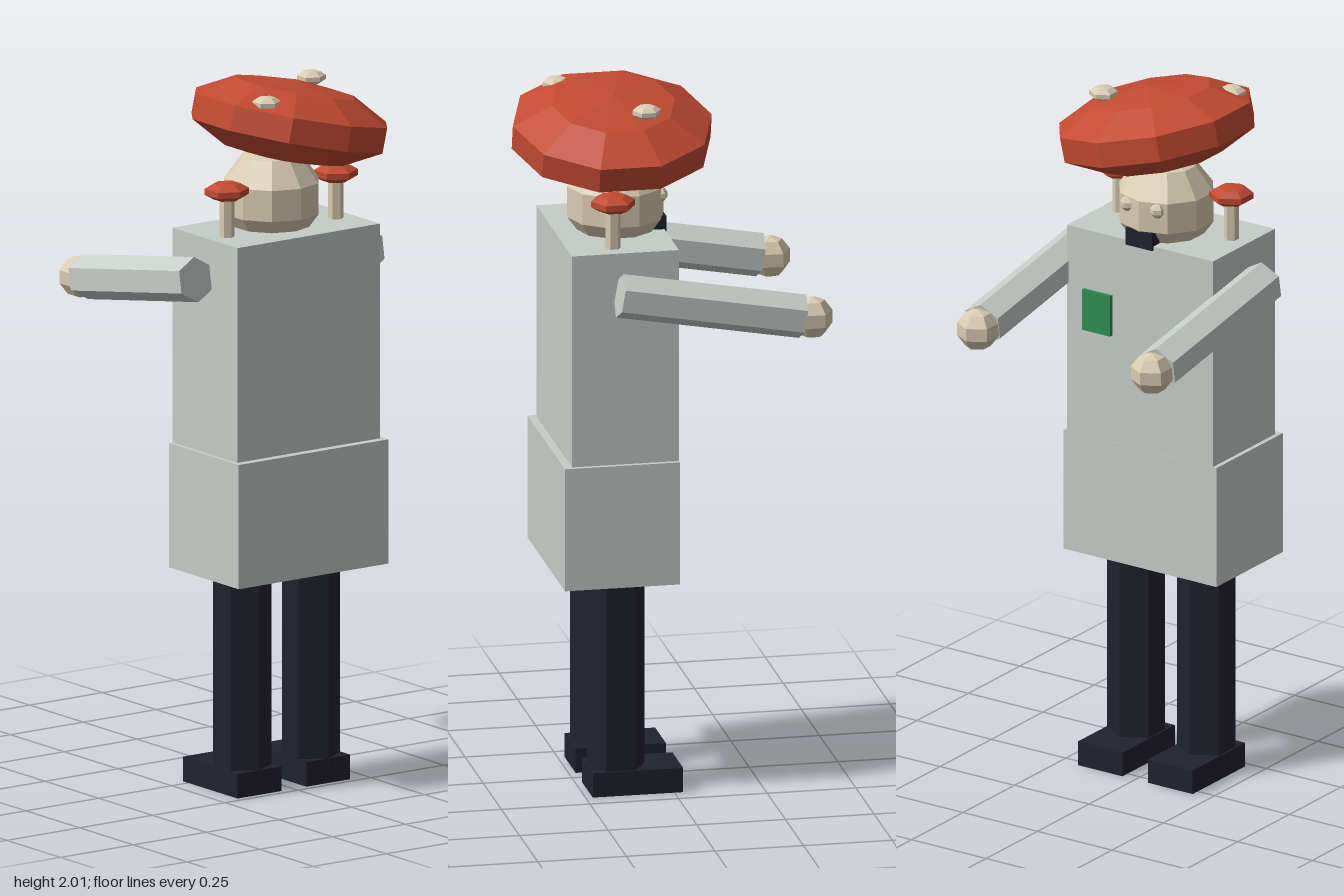
import * as THREE from 'three';

const mat = (name, color) => {
  const m = new THREE.MeshStandardMaterial({ color, flatShading: true });
  m.name = name;
  return m;
};

export function createModel() {
  const grey = mat('coat grey', 0xc6ccc8);
  const red = mat('cap red', 0xc24a32);
  const cream = mat('cream', 0xd8ccb2);
  const dark = mat('dark navy', 0x20212c);
  const green = mat('badge green', 0x2f8f50);

  const model = new THREE.Group();
  const add = (name, geometry, material, x, y, z) => {
    const mesh = new THREE.Mesh(geometry, material);
    mesh.name = name;
    mesh.position.set(x, y, z);
    model.add(mesh);
    return mesh;
  };
  const box = (w, h, d) => new THREE.BoxGeometry(w, h, d);
  const hex = (r, h) => new THREE.CylinderGeometry(r, r, h, 6);
  // Faceted ball with corners on the z axis; height is its half height
  const ball = (r, height, sides) =>
    new THREE.SphereGeometry(r, sides, 5).rotateY(Math.PI / 2).scale(1, height / r, 1);

  // Coat and its wider hem
  add('coat', box(0.49, 0.61, 0.302), grey, 0, 1.28, 0.149);
  add('coatHem', box(0.514, 0.353, 0.324), grey, 0, 0.798, 0.16);
  add('badge', box(0.095, 0.12, 0.02), green, 0.14, 1.35, -0.003);

  // Head and face
  add('head', ball(0.143, 0.143, 10), cream, 0, 1.667, 0.127);
  add('moustache', box(0.09, 0.05, 0.035), dark, 0, 1.598, 0.01);

  // Paired parts
  for (const [side, s] of [['left', 1], ['right', -1]]) {
    add(side + 'Eye', ball(0.023, 0.022, 6), cream, s * 0.05, 1.688, 0.012);
    add(side + 'Leg', hex(0.081, 0.6), dark, s * 0.118, 0.335, 0.15);
    add(side + 'Shoe', box(0.15, 0.07, 0.255), dark, s * 0.118, 0.035, 0.103);

    // Arm reaching out and slightly down
    const arm = add(side + 'Arm', hex(0.063, 0.523), grey, s * 0.294, 1.433, -0.083);
    arm.rotation.x = -THREE.MathUtils.degToRad(100);
    add(side + 'Hand', ball(0.061, 0.06, 6), cream, s * 0.292, 1.383, -0.367);

    // Little mushroom on the shoulder
    add(side + 'MushroomStem', hex(0.021, 0.13), cream, s * 0.187, 1.64, 0.172);
    add(side + 'MushroomCap', ball(0.065, 0.027, 6), red, s * 0.187, 1.714, 0.172);
  }

  // Tilted cap with raised spots
  const cap = add('cap', ball(0.295, 0.116, 10), red, 0.046, 1.877, 0.147);
  cap.rotation.z = -THREE.MathUtils.degToRad(13);
  add('capSpotLarge', ball(0.042, 0.02, 6), cream, 0.175, 1.968, 0.075);
  add('capSpotSmall', ball(0.042, 0.02, 6), cream, -0.122, 1.973, 0.268);

  return model;
}
